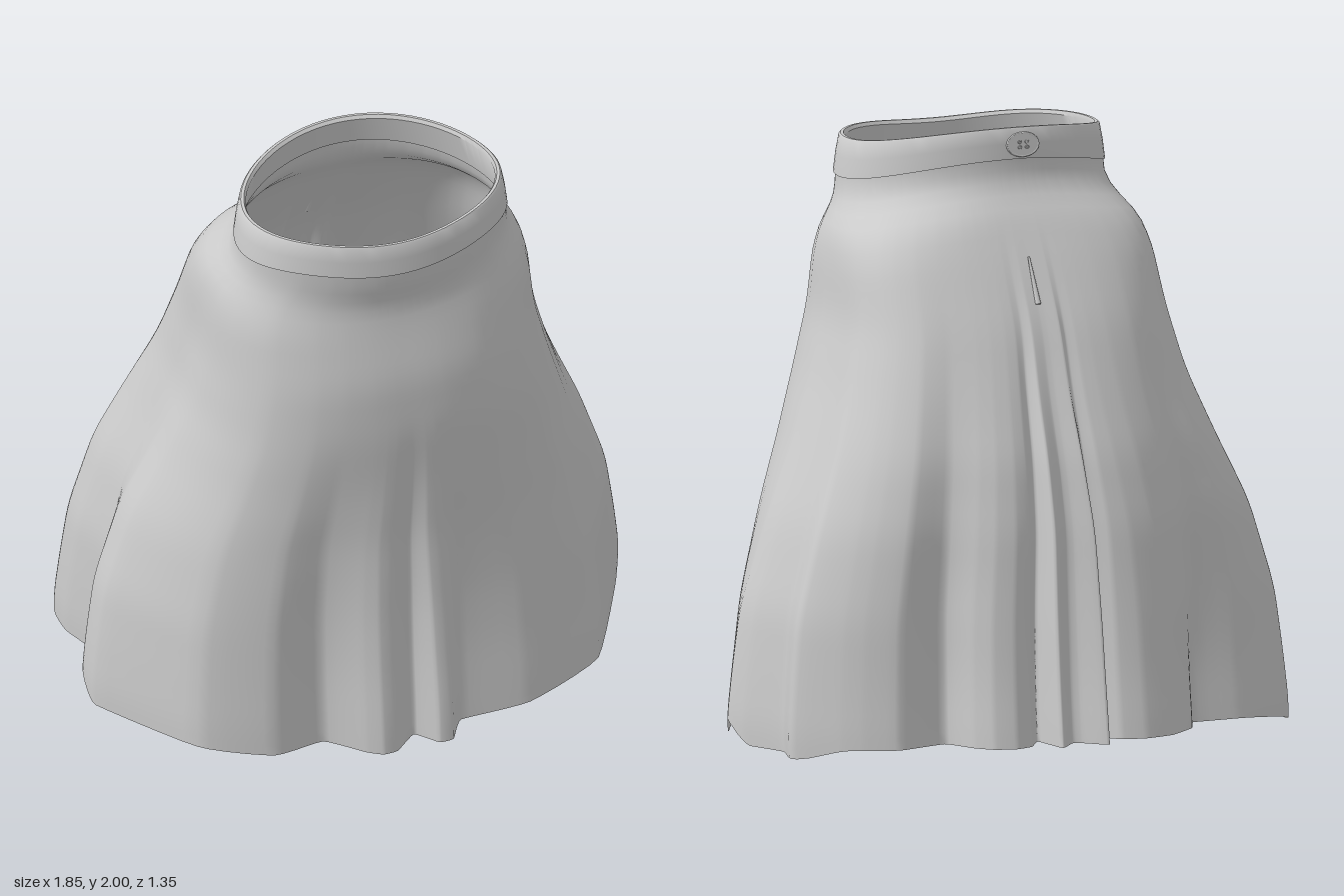
import * as THREE from 'three';
import { toCreasedNormals } from 'three/addons/utils/BufferGeometryUtils.js';

const grey = new THREE.MeshStandardMaterial({ color: 0xcccccc, side: THREE.DoubleSide });
const { lerp, smoothstep } = THREE.MathUtils;

// Extents of the skirt by height: y, right-hand x, left-hand x, front z, back z
const EXTENTS = [
  [0, -0.92, 0.915, 0.68, -0.685], [0.13, -0.925, 0.92, 0.67, -0.67], [0.3, -0.91, 0.9, 0.65, -0.64],
  [0.5, -0.885, 0.87, 0.63, -0.61], [0.78, -0.8, 0.775, 0.61, -0.565], [1.0, -0.695, 0.68, 0.61, -0.505],
  [1.2, -0.615, 0.6, 0.615, -0.42], [1.4, -0.57, 0.535, 0.603, -0.33], [1.6, -0.55, 0.512, 0.555, -0.215],
  [1.72, -0.515, 0.475, 0.535, -0.14], [1.82, -0.475, 0.43, 0.565, -0.085], [1.9, -0.465, 0.42, 0.57, -0.05],
];

// Hem outline as x, z pairs, from the front centre round the +x side
const HEM = [
  0, 0.6, 0.06, 0.67, 0.11, 0.67, 0.17, 0.585, 0.4, 0.6, 0.67, 0.51, 0.86, 0.17, 0.92, 0.04,
  0.9, -0.05, 0.83, -0.2, 0.855, -0.32, 0.73, -0.42, 0.66, -0.46, 0.55, -0.5, 0.38, -0.46,
  0.32, -0.56, 0.27, -0.61, 0.2, -0.63, 0.14, -0.61, 0.09, -0.54, 0.06, -0.67, 0, -0.61,
  -0.03, -0.62, -0.1, -0.68, -0.11, -0.55, -0.17, -0.61, -0.25, -0.63, -0.35, -0.61, -0.45, -0.53,
  -0.5, -0.43, -0.66, -0.43, -0.85, -0.38, -0.86, -0.25, -0.81, -0.08, -0.92, 0.05, -0.92, 0.17,
  -0.7, 0.5, -0.47, 0.585, -0.29, 0.545, -0.18, 0.64, -0.13, 0.67, -0.08, 0.665,
];

function extentsAt(y) {
  let i = 0;
  while (i < EXTENTS.length - 2 && EXTENTS[i + 1][0] < y) i++;
  const a = EXTENTS[i], b = EXTENTS[i + 1];
  const t = Math.min(1, Math.max(0, (y - a[0]) / (b[0] - a[0])));
  return a.map((v, k) => lerp(v, b[k], t));
}

// Averaging over a short height rounds the corners of the profile
function softExtentsAt(y) {
  const samples = [-0.05, -0.025, 0, 0.025, 0.05].map((d) => extentsAt(y + d));
  return samples[0].map((_, k) => samples.reduce((sum, s) => sum + s[k], 0) / samples.length);
}

// Closed ring surface: point(i, j) for column i and row j
function ringSurface(columns, rows, point) {
  const positions = [], index = [];
  for (let j = 0; j <= rows; j++) {
    for (let i = 0; i < columns; i++) positions.push(...point(i, j));
  }
  for (let j = 0; j < rows; j++) {
    for (let i = 0; i < columns; i++) {
      const n = (i + 1) % columns;
      const a = j * columns + i, b = j * columns + n;
      index.push(a, b, a + columns, b, b + columns, a + columns);
    }
  }
  const g = new THREE.BufferGeometry();
  g.setAttribute('position', new THREE.Float32BufferAttribute(positions, 3));
  g.setIndex(index);
  g.computeVertexNormals();
  return g;
}

function addMesh(parent, name, geometry) {
  const mesh = new THREE.Mesh(geometry, grey);
  mesh.name = name;
  parent.add(mesh);
  return mesh;
}

// Waistband edges by c, which is +1 at the front, 0 at the sides and -1 at the back
const bandBottom = (c) => (c > 0 ? 1.82 + 0.06 * c * c * (1 - c * c) - 0.01 * c ** 4 : 1.82 + 0.08 * c * c);
const bandTop = (c) => (c > 0 ? 1.945 - 0.022 * c ** 6 : 1.945 + 0.055 * c * c);
// Waist oval, widest a little forward of its middle
const waistX = (s, rx) => -0.022 + s * rx;
const waistZ = (s, c, rz) => 0.255 + c * rz + 0.015 * s * s;

function skirtGeometry() {
  const columns = (HEM.length / 2) * 5, rows = 48;
  const outline = [];
  for (let i = 0; i < HEM.length; i += 2) outline.push(new THREE.Vector3(HEM[i], 0, HEM[i + 1]));
  // Low tension keeps the hem angular
  const curve = new THREE.CatmullRomCurve3(outline, true, 'catmullrom', 0.2);
  const hem = [];
  for (let i = 0; i < columns; i++) {
    const p = curve.getPoint(i / columns);
    const hx = p.x / 0.92, hz = p.z / 0.68;
    const angle = Math.atan2(hx, hz);
    // The hem dips at the front and lifts at the widest side folds and the back
    let y = hz > 0 ? 0.068 * Math.min(1, (p.x / 0.7) ** 2) : 0.065 + 0.035 * smoothstep(-p.z, 0.33, 0.45);
    y += 0.07 * Math.max(0, 1 - Math.abs(p.z - 0.045) / 0.11);
    hem.push({ hx, hz, y, s: Math.sin(angle), c: Math.cos(angle) });
  }
  return ringSurface(columns, rows, (i, j) => {
    const { hx, hz, y: hemY, s, c } = hem[i], t = j / rows;
    const y = lerp(hemY, bandBottom(c), t);
    const [, x0, x1, zF, zB] = softExtentsAt(y);
    // The hips are a squarish oval, fuller at the back
    const n = 2 + (1 - smoothstep(t, 0.84, 1)) * (0.85 - 0.35 * c);
    const r = (Math.abs(s) ** n + Math.abs(c) ** n) ** (-1 / n);
    // Folds are full at the hem and fade out towards the waist, sooner at the front
    const fold = 1 - smoothstep(t, 0, 0.92 - 0.2 * Math.max(0, c));
    const ux = lerp(s * r, hx, fold), uz = lerp(c * r, hz, fold);
    // The top edge meets the waistband
    const meet = smoothstep(t, 0.9, 1);
    return [
      lerp((x0 + x1) / 2 + ux * (x1 - x0) / 2, waistX(s, 0.447), meet),
      y,
      lerp((zF + zB) / 2 + uz * (zF - zB) / 2, waistZ(s, c, 0.312), meet),
    ];
  });
}

function waistbandGeometry() {
  const columns = 72;
  // Per row: height fraction, x radius, z radius (outside up, over the rim, inside down)
  const rows = [
    [0, 0.445, 0.31], [0, 0.453, 0.32], [0.5, 0.445, 0.316], [0.95, 0.434, 0.311],
    [1, 0.428, 0.307], [1, 0.418, 0.298], [0.9, 0.412, 0.289], [0, 0.435, 0.3],
  ];
  const g = ringSurface(columns, rows.length - 1, (i, j) => {
    const a = (i / columns) * Math.PI * 2, s = Math.sin(a), c = Math.cos(a);
    const [f, rx, rz] = rows[j];
    return [waistX(s, rx), lerp(bandBottom(c), bandTop(c), f), waistZ(s, c, rz)];
  });
  return toCreasedNormals(g, 0.7);
}

export function createModel() {
  const model = new THREE.Group();
  model.name = 'skirt';
  addMesh(model, 'skirtFabric', skirtGeometry());
  addMesh(model, 'waistband', waistbandGeometry());

  // Oval button at the back of the waistband
  const button = new THREE.Group();
  button.name = 'button';
  const disc = addMesh(button, 'buttonDisc', new THREE.CylinderGeometry(0.055, 0.055, 0.01, 24));
  disc.rotation.x = Math.PI / 2;
  addMesh(button, 'buttonRim', new THREE.TorusGeometry(0.052, 0.006, 8, 24));
  for (const x of [-0.012, 0.012]) {
    for (const y of [-0.012, 0.012]) {
      addMesh(button, 'buttonEyelet', new THREE.TorusGeometry(0.006, 0.002, 6, 10)).position.set(x, y, -0.006);
    }
  }
  button.scale.y = 0.7;
  button.rotation.x = 0.1;
  button.position.set(-0.065, 1.945, -0.062);
  model.add(button);

  // Slim zip pull on the back seam
  const pull = addMesh(model, 'zipPull', new THREE.CylinderGeometry(0.004, 0.01, 0.16, 8));
  pull.scale.z = 0.6;
  pull.position.set(-0.02, 1.54, -0.252);
  pull.rotation.x = 0.5;
  return model;
}
